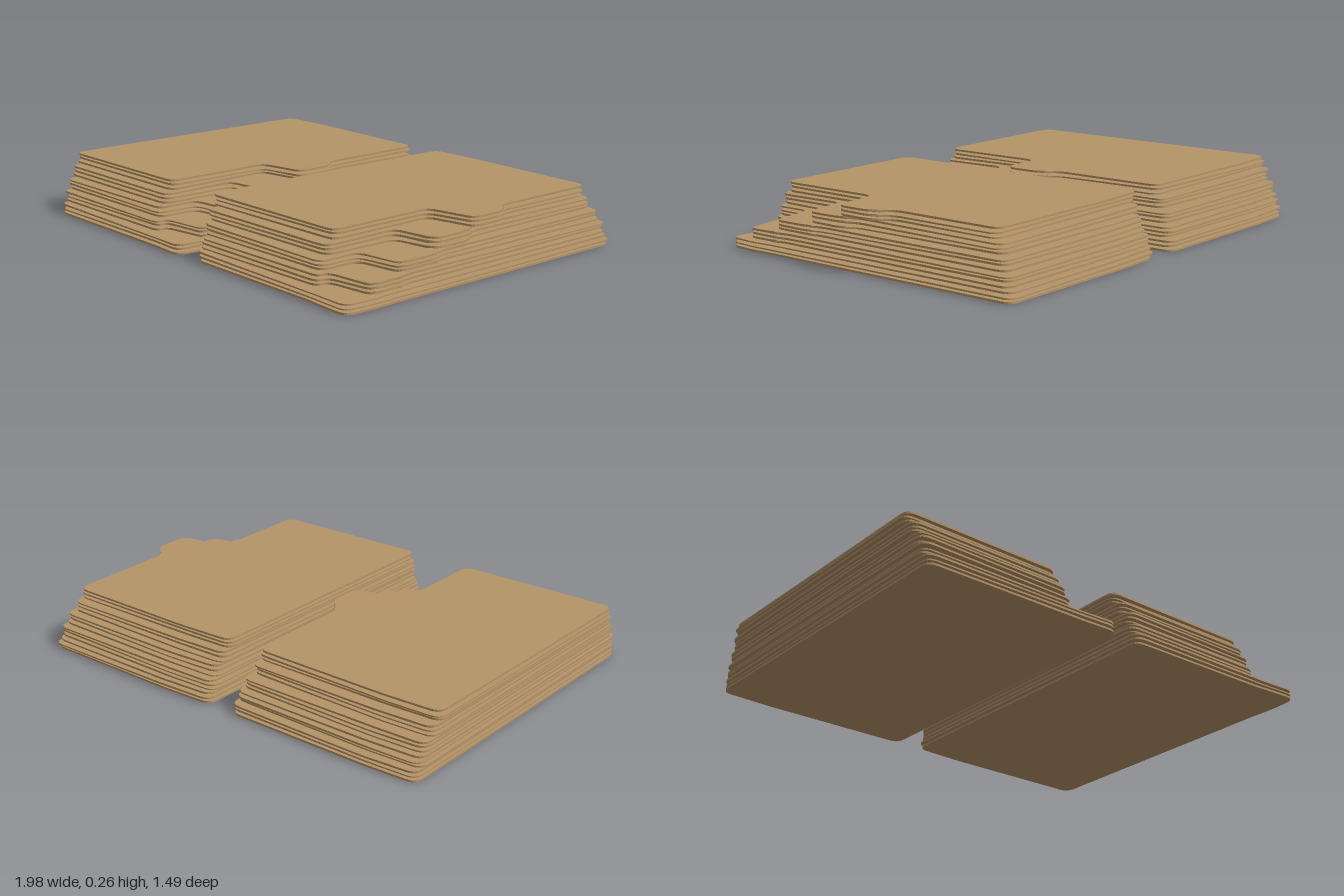
import * as THREE from 'three';

const manila = new THREE.MeshStandardMaterial({ color: 0xb59467 });
manila.name = 'manila card';

// Folders from the top down: left, right, tab edge in x; back, front in z; tab span in z
const FOLDERS = [
  { x0: -1.0, x1: -0.11, tab: -0.04, back: -0.63, front: 0.615, t0: -0.06, t1: 0.12 },
  { x0: -0.99, x1: -0.1, tab: -0.06, back: -0.66, front: 0.65, t0: 0.12, t1: 0.3 },
  { x0: -0.98, x1: -0.08, tab: -0.055, back: -0.695, front: 0.68, t0: 0.3, t1: 0.485 },
  { x0: -0.98, x1: -0.065, tab: -0.045, back: -0.72, front: 0.7, t0: 0.49, t1: 0.63 },
  { x0: -0.975, x1: -0.055, tab: -0.05, back: -0.735, front: 0.715, t0: 0.6, t1: 0.74 },
];
const NOTCH_X = -0.26;
const SHEETS = 3; // front cover, paper, back cover
const PITCH = 0.0178;
const THICK = 0.0085;

function seeded(seed) {
  let s = seed;
  return () => {
    s = (s * 16807) % 2147483647;
    return s / 2147483647 - 0.5;
  };
}

// Closed outline with every corner rounded
function roundedOutline(points, radius) {
  const shape = new THREE.Shape();
  const pts = points.map(([x, z]) => new THREE.Vector2(x, -z));
  pts.forEach((p, i) => {
    const prev = pts[(i + pts.length - 1) % pts.length];
    const next = pts[(i + 1) % pts.length];
    const toward = (q) => {
      const d = q.clone().sub(p);
      return p.clone().add(d.setLength(Math.min(radius, d.length() * 0.45)));
    };
    const a = toward(prev);
    const b = toward(next);
    if (i === 0) shape.moveTo(a.x, a.y);
    else shape.lineTo(a.x, a.y);
    shape.quadraticCurveTo(p.x, p.y, b.x, b.y);
  });
  shape.closePath();
  return shape;
}

function sheetGeometry(f, isLast, warp, rand) {
  const j = () => rand() * 0.016;
  const x0 = f.x0 + Math.abs(j());
  const x1 = f.x1 + j() * 0.6;
  const back = f.back + j();
  const front = f.front + j() * 0.7;
  const points = isLast
    ? [[x0, front], [NOTCH_X, front + 0.01], [NOTCH_X + 0.03, f.t1 - 0.01], [f.tab - 0.01, f.t1],
      [f.tab, f.t0], [x1, f.t0 - 0.08]]
    : [[x0, front], [NOTCH_X, front], [NOTCH_X, f.t1 + 0.012], [f.tab, f.t1 - 0.01],
      [f.tab, f.t0], [x1, f.t0 - 0.06]];
  points.push([x1, back + 0.012], [x0 + 0.25, back - 0.006], [x0 + 0.012, back]);

  const geo = new THREE.ExtrudeGeometry(roundedOutline(points, 0.045), {
    depth: THICK, bevelEnabled: false, curveSegments: 5,
  });
  geo.rotateX(-Math.PI / 2);

  // Slight curl along the worn edges, with the tab lifted
  const pos = geo.attributes.position;
  const phase = rand() * 6;
  for (let i = 0; i < pos.count; i++) {
    const x = pos.getX(i);
    const z = pos.getZ(i);
    let lift = warp * Math.sin(x * 5 + z * 4 + phase);
    if (x > f.x1 + 0.01 && z > f.t0 - 0.02 && z < f.t1 + 0.02) lift += 0.003;
    pos.setY(i, Math.max(0, pos.getY(i) + lift));
  }
  geo.computeVertexNormals();
  return geo;
}

function folderStack(name, seed) {
  const rand = seeded(seed);
  const stack = new THREE.Group();
  stack.name = name;
  const total = FOLDERS.length * SHEETS;
  FOLDERS.forEach((f, i) => {
    const folder = new THREE.Group();
    folder.name = `folder${i + 1}`;
    for (let s = 0; s < SHEETS; s++) {
      const level = total - 1 - (i * SHEETS + s);
      const flat = level === 0 || level === total - 1;
      const isLast = i === FOLDERS.length - 1;
      const mesh = new THREE.Mesh(sheetGeometry(f, isLast, flat ? 0.0006 : 0.003, rand), manila);
      mesh.name = ['frontCover', 'paper', 'backCover'][s];
      mesh.position.y = 0.004 + level * PITCH;
      folder.add(mesh);
    }
    stack.add(folder);
  });
  return stack;
}

export function createModel() {
  const model = new THREE.Group();
  model.name = 'folderStacks';
  const right = folderStack('rightStack', 4711);
  const left = folderStack('leftStack', 90210);
  left.position.set(1.025, 0, 0.012);
  model.add(right, left);
  return model;
}
